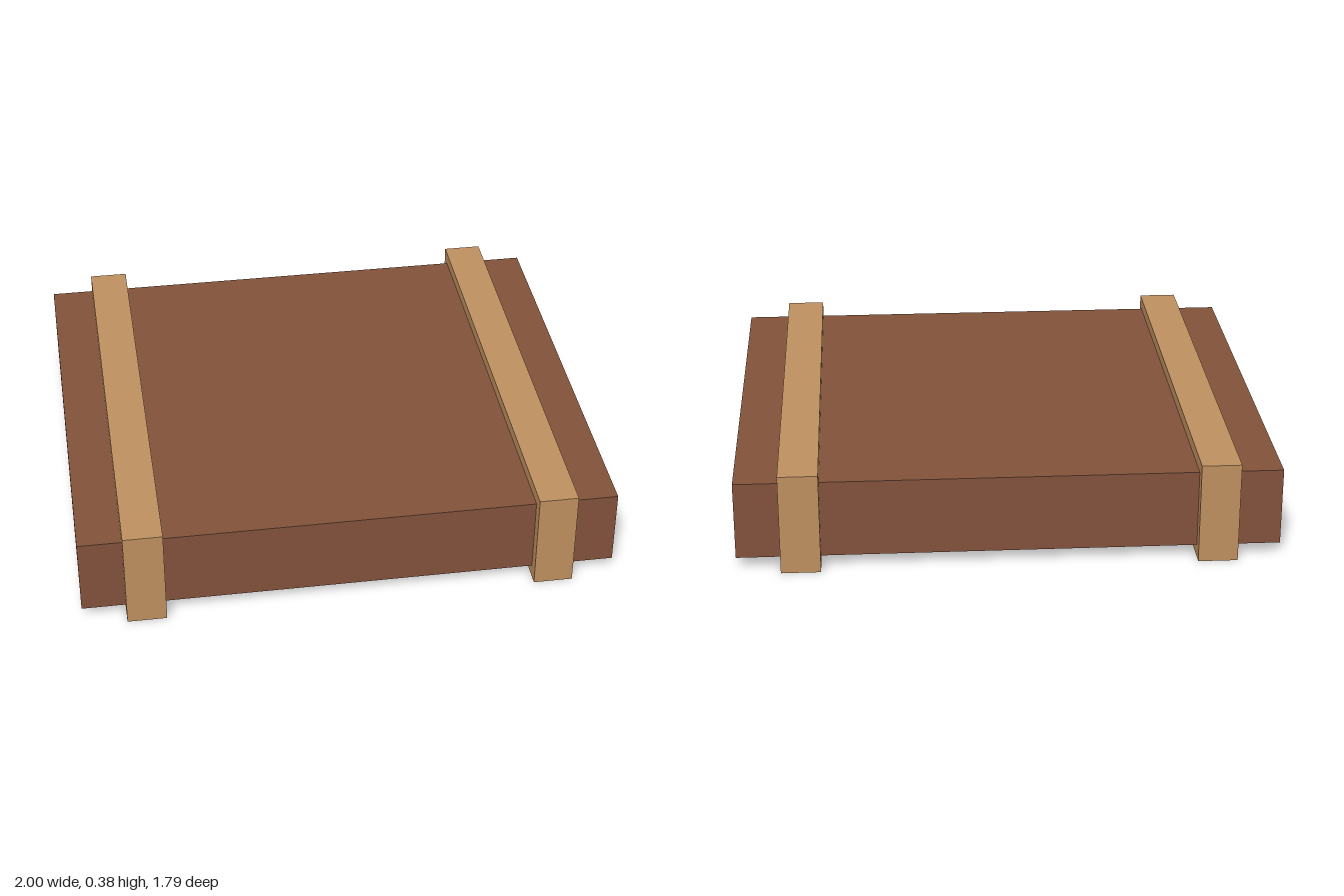
import * as THREE from 'three';

export function createModel() {
  const group = new THREE.Group();
  const darkWood = new THREE.MeshStandardMaterial({ color: 0x82523b });
  darkWood.name = 'dark wood';
  const lightWood = new THREE.MeshStandardMaterial({ color: 0xbf9060 });
  lightWood.name = 'light wood';

  const addBox = (name, size, x, material) => {
    const mesh = new THREE.Mesh(new THREE.BoxGeometry(...size), material);
    mesh.name = name;
    mesh.position.set(x, 0.192, 0);
    group.add(mesh);
  };

  // Flat slab, held off the ground by the bands
  addBox('slab', [2, 0.294, 1.696], 0, darkWood);

  // Bands wrapped around the slab near each end
  addBox('leftBand', [0.146, 0.384, 1.786], 0.764, lightWood);
  addBox('rightBand', [0.146, 0.384, 1.786], -0.764, lightWood);

  return group;
}
